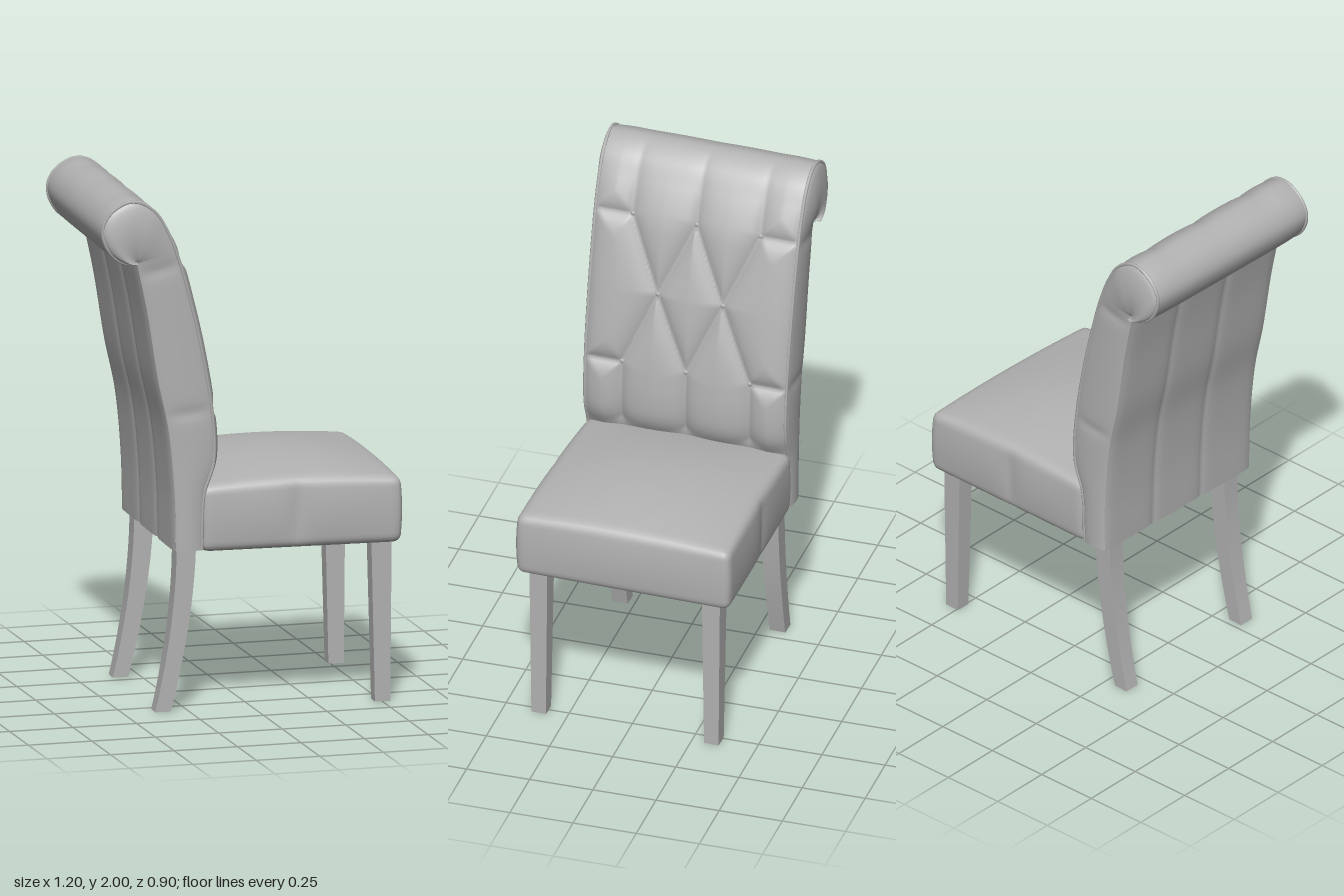
import * as THREE from 'three';
import { mergeVertices } from 'three/addons/utils/BufferGeometryUtils.js';

const V = (x, y, z = 0) => new THREE.Vector3(x, y, z);
const spline = (pts) => {
  const c = new THREE.CatmullRomCurve3(pts.map(([x, y]) => V(x, y)));
  c.arcLengthDivisions = 600;
  return c;
};

// Profile of the padded front, from the bottom up and around the rolled top
const front = spline([[-0.2, 0.63], [-0.19, 0.85], [-0.157, 0.95], [-0.15, 1.03], [-0.165, 1.2],
  [-0.2, 1.4], [-0.235, 1.555], [-0.285, 1.74], [-0.335, 1.87], [-0.39, 1.955], [-0.47, 1.993],
  [-0.555, 1.955], [-0.59, 1.885], [-0.56, 1.8], [-0.505, 1.758], [-0.455, 1.755]]);
// Profile of the rear panel, bottom up to the crook under the roll
const rear = spline([[-0.3, 0.63], [-0.307, 0.865], [-0.33, 1.1], [-0.37, 1.29],
  [-0.413, 1.555], [-0.455, 1.755]]);

// First position along the front profile that reaches height y
function atHeight(y) {
  for (let u = 0; u < 1; u += 0.001) if (front.getPointAt(u).y >= y) return u;
  return 1;
}
const uTop = atHeight(1.9925), uRoll = atHeight(1.79);
const halfWidth = (u) => 0.398 + 0.012 * u;

// Surface from a rule over u and v, facing du x dv
function grid(nu, nv, fn) {
  const pos = [], idx = [];
  for (let i = 0; i <= nu; i++)
    for (let j = 0; j <= nv; j++) pos.push(...fn(i / nu, j / nv).toArray());
  for (let i = 0; i < nu; i++)
    for (let j = 0; j < nv; j++) {
      const a = i * (nv + 1) + j, b = a + nv + 1;
      idx.push(a, b, a + 1, b, b + 1, a + 1);
    }
  const g = new THREE.BufferGeometry();
  g.setAttribute('position', new THREE.Float32BufferAttribute(pos, 3));
  g.setIndex(idx);
  g.computeVertexNormals();
  return g;
}

// Tufting: buttons as [z, y], and the creases that join them
const buttons = [[-0.255, 1.75], [0, 1.75], [0.255, 1.75], [-0.13, 1.46], [0.13, 1.46],
  [-0.255, 1.17], [0, 1.17], [0.255, 1.17]];
const creases = [];
for (const y of [1.75, 1.17]) {
  for (const s of [-1, 1]) {
    creases.push([0, y, s * 0.13, 1.46], [s * 0.255, y, s * 0.13, 1.46], [s * 0.255, y, s * 0.42, y]);
  }
  for (const z of [-0.255, 0, 0.255]) creases.push([z, y, z, y > 1.5 ? 1.97 : 0.93]);
}
function creaseDistance(z, y) {
  let best = 1;
  for (const [z0, y0, z1, y1] of creases) {
    const dz = z1 - z0, dy = y1 - y0;
    const t = THREE.MathUtils.clamp(((z - z0) * dz + (y - y0) * dy) / (dz * dz + dy * dy), 0, 1);
    best = Math.min(best, Math.hypot(z - z0 - t * dz, y - y0 - t * dy));
  }
  return best;
}

function tuftedFront(u, v) {
  const p = front.getPointAt(u), t = front.getTangentAt(u);
  const w = halfWidth(u), z = (v * 2 - 1) * w;
  const y = u < uTop ? p.y : 4 - p.y;
  const d = Math.min(creaseDistance(z, y), w - Math.abs(z));
  const amp = (0.034 - 0.028 * THREE.MathUtils.smoothstep(y, 1.7, 1.98)) * THREE.MathUtils.smoothstep(y, 0.75, 0.98);
  const off = amp * (1 - Math.exp(-d / 0.04));
  return V(p.x + t.y * off, p.y - t.x * off, z);
}

function rearPanel(u, v) {
  const p = rear.getPointAt(u), z = (1 - v * 2) * halfWidth(u * uRoll);
  const d = Math.min(Math.abs(Math.abs(z) - 0.13), 0.4 - Math.min(0.4, Math.abs(z)));
  return V(p.x - 0.008 * (1 - Math.exp(-d / 0.02)), p.y, z);
}

// Bulging side of the backrest, with two darts
const darts = [atHeight(1.17), atHeight(1.74)];
const sidePanel = (s) => (u, v) => {
  const q = s > 0 ? v : 1 - v;
  const p = front.getPointAt(u).lerp(rear.getPointAt(Math.min(1, u / uRoll)), q);
  let bulge = 0.012 + 0.014 * THREE.MathUtils.smoothstep(u, uRoll - 0.05, uRoll + 0.12);
  for (const d of darts) bulge *= 1 - 0.7 * Math.exp(-Math.abs(u - d) / 0.012);
  return V(p.x, p.y, s * (halfWidth(u) + bulge * Math.pow(Math.max(0, Math.sin(Math.PI * q)), 0.6)));
};

// Domed cushion: rounded box, wider at the front, with a dart in each side
function cushion() {
  const half = V(0.3875, 0.1325, 0.42), r = 0.03;
  let g = new THREE.BoxGeometry(0.775, 0.265, 0.84, 48, 20, 48);
  g.deleteAttribute('uv');
  g.deleteAttribute('normal');
  g = mergeVertices(g);
  const a = g.attributes.position, p = V(0, 0), inner = V(0, 0);
  const lim = half.clone().subScalar(r), low = lim.clone().negate();
  for (let i = 0; i < a.count; i++) {
    p.fromBufferAttribute(a, i);
    inner.copy(p).clamp(low, lim);
    p.sub(inner).normalize().multiplyScalar(r).add(inner);
    const nx = p.x / half.x, ny = p.y / half.y, nz = p.z / half.z;
    const swell = Math.max(0, 1 - ny * ny);
    const dart = 1 - Math.exp(-Math.abs(p.x + 0.02) / 0.04);
    p.z *= 0.965 + 0.045 * (nx + 1) / 2 + 0.03 * swell * dart * (1 - nx * nx * 0.5);
    if (nx > 0) p.x += 0.012 * nx * swell * (1 - nz * nz * 0.5);
    if (ny > 0) p.y += 0.05 * ny * (1 - nx * nx) * (1 - nz * nz * 0.9) - 0.012 * ny * nx * nx * nz * nz;
    a.setXYZ(i, p.x, p.y, p.z);
  }
  g.computeVertexNormals();
  return g.translate(0.1875, 0.7525, 0);
}

// Square leg from rule(h) -> [centre x, width x, width z], h = 0 at the floor
function leg(rule, steps) {
  const g = new THREE.BoxGeometry(1, 1, 1, 1, steps, 1), a = g.attributes.position;
  for (let i = 0; i < a.count; i++) {
    const h = a.getY(i) + 0.5, [cx, wx, wz] = rule(h);
    a.setXYZ(i, cx + a.getX(i) * wx, h * 0.65, a.getZ(i) * wz);
  }
  g.computeVertexNormals();
  return g;
}

export function createModel() {
  const model = new THREE.Group();
  model.name = 'diningChair';
  const fabric = new THREE.MeshStandardMaterial({ color: 0xb2b2b2, side: THREE.DoubleSide });
  fabric.name = 'grey';
  const add = (name, geometry, parent = model) => {
    const m = new THREE.Mesh(geometry, fabric);
    m.name = name;
    parent.add(m);
    return m;
  };

  // Backrest
  const back = new THREE.Group();
  back.name = 'backrest';
  model.add(back);
  add('tuftedFront', grid(180, 100, tuftedFront), back);
  add('rearPanel', grid(40, 80, rearPanel), back);
  add('backrestBase', grid(1, 1, (u, v) => V(-0.3 + 0.1 * u, 0.63, (v * 2 - 1) * 0.398)), back);
  for (const s of [-1, 1]) {
    add('sidePanel', grid(120, 20, sidePanel(s)), back);
    const path = [];
    for (let i = 0; i <= 40; i++) {
      const p = front.getPointAt(i / 40);
      path.push(p.setZ(s * halfWidth(i / 40)));
    }
    add('piping', new THREE.TubeGeometry(new THREE.CatmullRomCurve3(path), 120, 0.007, 6), back);
  }
  for (const [z, y] of buttons) {
    const p = front.getPointAt(atHeight(y));
    const b = add('button', new THREE.SphereGeometry(0.01, 12, 8), back);
    b.position.set(p.x + 0.002, p.y, z);
    b.scale.x = 0.6;
  }

  // Seat
  add('seatCushion', cushion());
  add('seatUnderside', new THREE.BoxGeometry(0.66, 0.008, 0.7).translate(0.18, 0.618, 0));

  // Legs
  for (const s of [-1, 1]) {
    const f = add('frontLeg', leg((h) => [0.513 - 0.006 * h, 0.06 + 0.02 * h, 0.058 + 0.014 * h], 1));
    f.position.z = s * 0.345;
    const r = add('rearLeg', leg((h) => [-0.247 - 0.09 * Math.pow(1 - h, 1.8), 0.06 + 0.016 * h, 0.062 + 0.01 * h], 10));
    r.position.z = s * 0.315;
  }

  // The chair stands slightly turned
  model.rotation.y = -0.03;
  return model;
}
